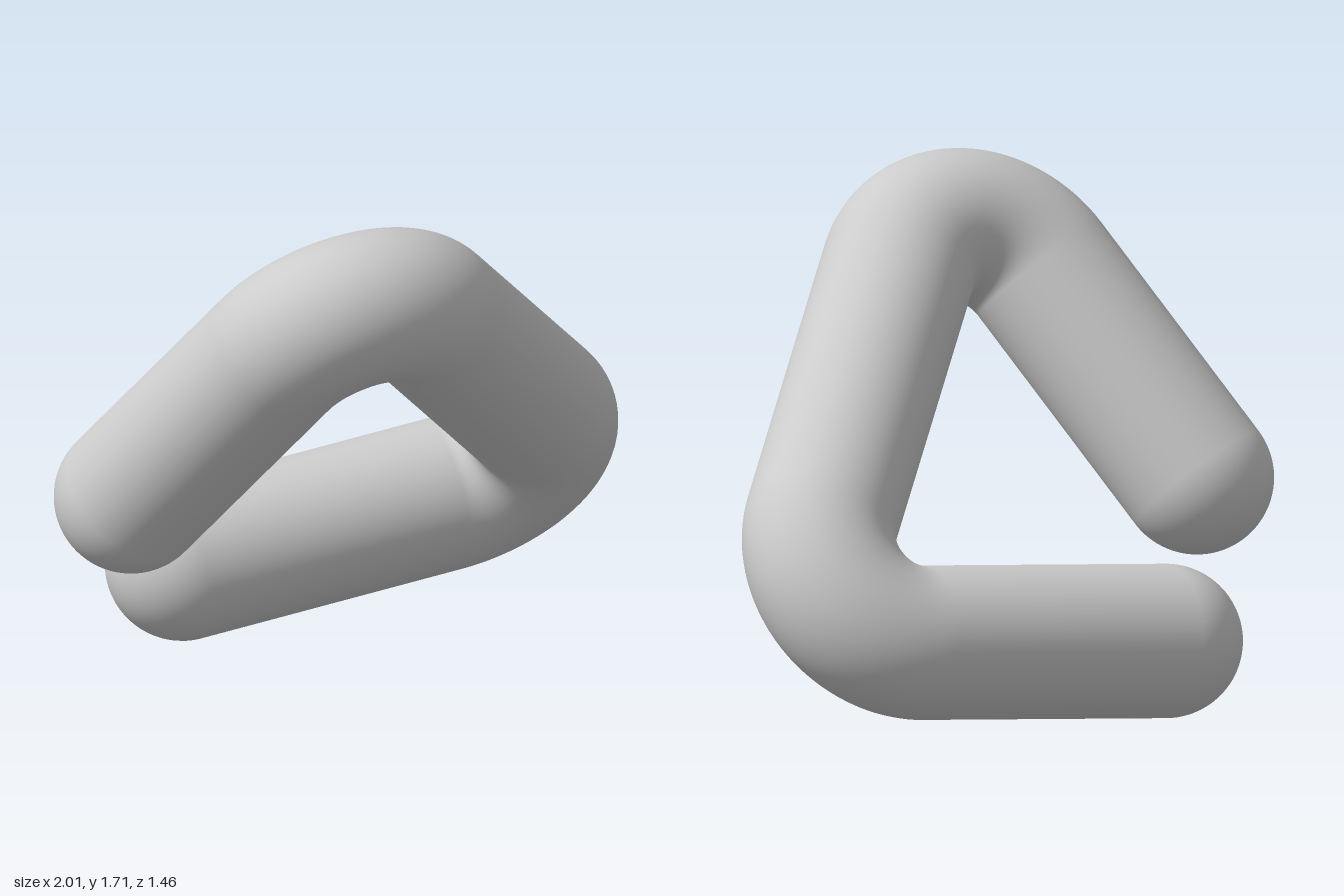
import * as THREE from 'three';

const TUBE = 0.25;   // radius of the bar
const BEND = 0.3;    // centreline radius of the bends
const SIDES = 64;
const rad = THREE.MathUtils.degToRad;

export function createModel() {
  const model = new THREE.Group();
  model.name = 'bentBar';
  const material = new THREE.MeshStandardMaterial({ color: 0xcccccc });

  const add = (name, geometry, pos, angle = 0) => {
    const mesh = new THREE.Mesh(geometry, material);
    mesh.name = name;
    mesh.position.set(pos.x, pos.y, 0);
    mesh.rotation.z = angle;
    model.add(mesh);
  };

  // straight round bar between two points of the plane
  const bar = (name, a, b) => {
    const d = b.clone().sub(a);
    add(name, new THREE.CylinderGeometry(TUBE, TUBE, d.length(), SIDES, 1, true),
      a.clone().add(b).multiplyScalar(0.5), d.angle() - Math.PI / 2);
  };

  // half sphere closing a bar, facing along the given direction
  const cap = (name, p, dir) => add(name,
    new THREE.SphereGeometry(TUBE, SIDES, 24, 0, Math.PI * 2, 0, Math.PI / 2),
    p, dir.angle() - Math.PI / 2);

  const polar = (deg, r) => new THREE.Vector2(Math.cos(rad(deg)), Math.sin(rad(deg))).multiplyScalar(r);
  const bend = (name, centre, from, to) => add(name,
    new THREE.TorusGeometry(BEND, TUBE, SIDES, 64, rad(to - from)), centre, rad(from));

  // the bar lies in one plane: two bends and the long bar between them
  const topCentre = new THREE.Vector2(-0.2, 0.473);
  const sideCentre = new THREE.Vector2(0.45, -0.339);
  const along = sideCentre.clone().sub(topCentre);
  const mid = THREE.MathUtils.radToDeg(Math.atan2(along.x, -along.y));
  const topEnd = 161.3, sideEnd = -81.3;
  bend('topBend', topCentre, mid, topEnd);
  bend('sideBend', sideCentre, sideEnd, mid);
  const offset = polar(mid, BEND);
  bar('middleBar', topCentre.clone().add(offset), sideCentre.clone().add(offset));

  // two free arms with rounded ends
  const arm = (name, centre, normal, heading, length) => {
    const start = centre.clone().add(polar(normal, BEND));
    const end = start.clone().add(polar(heading, length));
    bar(name + 'Arm', start, end);
    cap(name + 'End', end, polar(heading, 1));
  };
  arm('upper', topCentre, topEnd, topEnd + 90, 0.846);
  arm('lower', sideCentre, sideEnd, sideEnd - 90, 0.906);

  // lean the plane so its top comes forward
  model.rotation.x = 0.671;
  model.position.y = 0.857;
  const root = new THREE.Group();
  root.name = 'leaningBentBar';
  root.add(model);
  return root;
}
